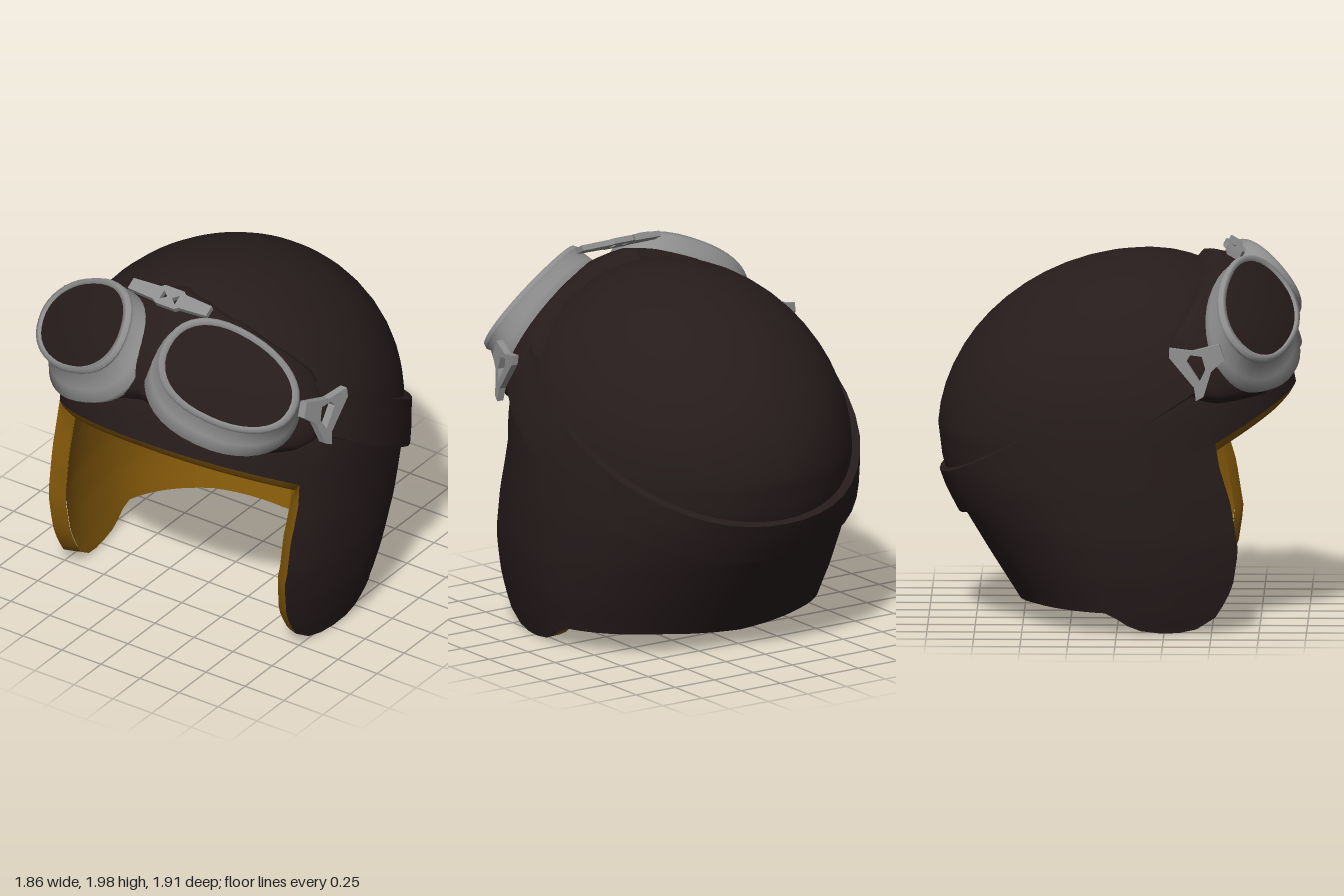
import * as THREE from 'three';
import { mergeGeometries, mergeVertices } from 'three/addons/utils/BufferGeometryUtils.js';

const leather = new THREE.MeshStandardMaterial({ name: 'dark leather', color: 0x271c1c });
const lining = new THREE.MeshStandardMaterial({ name: 'ochre lining', color: 0x7d5409, side: THREE.DoubleSide });
const metal = new THREE.MeshStandardMaterial({ name: 'grey metal', color: 0x8e8e8e, side: THREE.DoubleSide });

const { sin, cos, acos, sqrt, PI, abs } = Math;
const lerp = THREE.MathUtils.lerp, deg = PI / 180;
const Y0 = 1.02, TOP = 0.922; // dome base height, dome rise
const THICK = 0.09;

// linear lookup in a list of [key, value]
function look(table, k) {
  for (let i = 1; i < table.length; i++) {
    const [k0, v0] = table[i - 1], [k1, v1] = table[i];
    if (k <= k1) return lerp(v0, v1, Math.max(0, (k - k0) / (k1 - k0)));
  }
  return table[table.length - 1][1];
}

// patch from f(u, v) -> [x, y, z], facing dv x du
function grid(f, nu, nv, flip = false) {
  const pos = [], idx = [];
  for (let j = 0; j <= nv; j++) for (let i = 0; i <= nu; i++) pos.push(...f(i / nu, j / nv));
  for (let j = 0; j < nv; j++) for (let i = 0; i < nu; i++) {
    const a = j * (nu + 1) + i, b = a + 1, d = a + nu + 1, c = d + 1;
    idx.push(...(flip ? [a, b, c, a, c, d] : [a, c, b, a, d, c]));
  }
  const g = new THREE.BufferGeometry();
  g.setAttribute('position', new THREE.Float32BufferAttribute(pos, 3));
  g.setIndex(idx);
  return g;
}

function mirror(geo) {
  const g = geo.clone().scale(-1, 1, 1);
  if (!g.index) g.setIndex([...Array(g.attributes.position.count).keys()]);
  const a = g.index.array;
  for (let i = 0; i < a.length; i += 3) [a[i], a[i + 1]] = [a[i + 1], a[i]];
  return g;
}

const both = (list) => [...list, ...list.map(mirror)];

function smooth(list) {
  const g = mergeVertices(mergeGeometries(list), 1e-4);
  g.computeVertexNormals();
  return g;
}

// helmet surface; off moves it inward
function dome(th, ph, off = 0) {
  const s = sin(ph), r = cos(th) > 0 ? 0.84 : 1.055;
  return [(0.885 - off) * s * sin(th), Y0 + (TOP - off) * cos(ph), 0.1 + 0.06 * cos(ph) + (r - off) * s * cos(th)];
}
const WIDTH = [[0, 0.785], [0.1, 0.815], [0.3, 0.86], [0.5, 0.885], [0.75, 0.892], [Y0, 0.885]];
const FRONT = [[0, 1.05], [0.5, 1.05], [0.75, 0.96], [Y0, 0.84]];
const BACK = [[0.09, 0.62], [0.35, 0.785], [0.58, 0.925], [0.7, 0.985], [0.82, 1.03], [Y0, 1.055]];
function skirt(th, y, off = 0) {
  const r = look(cos(th) > 0 ? FRONT : BACK, y);
  return [(look(WIDTH, y) - off) * sin(th), y, 0.1 + (r - off) * cos(th)];
}
const surface = (th, y, off) => (y > Y0 ? dome(th, acos(Math.min(1, (y - Y0) / TOP)), off) : skirt(th, y, off));
const shift = ([x, y, z], dy, dz = 0) => [x, y + dy, z + dz];

// patches of one half: above the brow, side of the dome, ear flap with nape
const CORNER = acos(0.42 / 0.84);
const FLAP = [[0.03, 0.42], [0.06, 0.48], [0.1, 0.53], [0.25, 0.61], [0.45, 0.64], [0.7, 0.6], [0.9, 0.54], [Y0, 0.52]];
const HEM = [[0, 0.03], [0.07, 0.005], [0.17, 0.03], [0.29, 0.12], [0.7, 0.12], [1, 0.095]];
// the lining hangs a little below the brow and stops a little above the nape hem
const brow = (u, v, off) => shift(dome(u * CORNER, v * acos(0.22 * (1 - u * u) / TOP), off), -0.5 * off * v);
const side = (u, v, off) => dome(lerp(CORNER, PI, u), v * PI / 2, off);
const flap = (u, v, off) => {
  const yf = lerp(Y0, 0.03, v);
  const start = acos((look(FLAP, yf) - 0.1) / look(FRONT, yf));
  return shift(skirt(lerp(start, PI, u), lerp(Y0, look(HEM, u), v), off), 0.4 * off * v * u);
};
function shell(off, flip) {
  return smooth(both([
    grid((u, v) => brow(u, v, off), 10, 14, flip),
    grid((u, v) => side(u, v, off), 20, 14, flip),
    grid((u, v) => flap(u, v, off), 20, 16, flip),
  ]));
}

// goggle axes on the +x side: n out of the lens, a along it, b across it
const N = new THREE.Vector3(0.436, 0.557, 0.707).normalize();
const A = new THREE.Vector3(-0.86, 0.41, 0.31).addScaledVector(N, -0.073).normalize();
const B = new THREE.Vector3().crossVectors(N, A);
const LENS = new THREE.Vector3(0.47, 1.69, 0.74), BASE = new THREE.Vector3(0.4, 1.555, 0.69);
const full = (c) => Math.sign(c) * abs(c) ** 0.9;
function oval(center, t, a, b, lift = 0) {
  const w = b * (1 + 0.1 * cos(t));
  return center.clone().addScaledVector(A, a * full(cos(t))).addScaledVector(B, w * full(sin(t))).addScaledVector(N, lift);
}
// move a point radially to the given multiple of the dome size
function seat(p, size) {
  const k = size / Math.hypot(p.x / 0.885, (p.y - Y0) / TOP, (p.z - 0.12) / 0.85);
  return new THREE.Vector3(p.x * k, Y0 + (p.y - Y0) * k, 0.12 + (p.z - 0.12) * k);
}
// closed band through rings(t) -> list of points
const band = (rings, n) => grid((u, v) => rings(u * 2 * PI)[Math.round(v * n)].toArray(), 40, n);

// plate with holes, outline given as points
function plate(outline, holes, depth) {
  const pts = (l) => l.map(([x, y]) => new THREE.Vector2(x, y));
  const shape = new THREE.Shape(pts(outline));
  holes.forEach((h) => shape.holes.push(new THREE.Path(pts(h))));
  return new THREE.ExtrudeGeometry(shape, { depth, bevelEnabled: false });
}

export function createModel() {
  const model = new THREE.Group();
  model.name = 'helmetWithGoggles';
  const add = (name, geo, mat, parent = model) => {
    const m = new THREE.Mesh(geo, mat);
    m.name = name;
    parent.add(m);
  };

  // helmet: outside, lining and the rounded edge between them
  const roll = (v) => 0.028 * sin(PI * v);
  add('helmetShell', shell(0, false), leather);
  add('helmetLining', shell(THICK, true), lining);
  add('helmetEdge', smooth(both([
    grid((u, v) => shift(brow(u, 1, THICK * v), -roll(v), roll(v) * u * 0.5), 10, 4),
    grid((u, v) => shift(flap(0, u, THICK * v), -(roll(v) + 0.5 * THICK * v) * (1 - u), roll(v) * (1 - u) * 0.5), 16, 4, true),
    grid((u, v) => flap(u, 1, THICK * v), 20, 4),
  ])), lining);

  // padded mask under the goggles: degrees around and down from the top
  const padTop = [[[0, 0], [0.5, 52], [0.8, 68], [1, 78]], [[0, 17], [0.25, 21], [0.5, 30], [0.8, 43], [1, 54]]];
  const padLow = [[[0, 0], [0.5, 36], [0.8, 60], [1, 77]], [[0, 62], [0.12, 64], [0.3, 70], [0.5, 76], [0.8, 77], [0.9, 75], [1, 67]]];
  add('gogglePad', smooth([grid((u, v) => {
    const s = 2 * u - 1, k = abs(s);
    const th = lerp(look(padTop[0], k), look(padLow[0], k), v) * Math.sign(s);
    const ph = lerp(look(padTop[1], k), look(padLow[1], k), v);
    const height = lerp(0.115, 0.09, Math.min(1, 2 * k));
    return dome(th * deg, ph * deg, 0.01 - height * Math.max(0, sin(PI * v)) ** 0.3 * sqrt(1 - k ** 10));
  }, 48, 24)]), leather);

  // lenses and frames
  const goggles = new THREE.Group();
  goggles.name = 'goggles';
  model.add(goggles);
  const lens = grid((u, v) => oval(LENS, u * 2 * PI, 0.36 * v, 0.232 * v, 0.025 * (1 - v * v)).toArray(), 40, 5);
  const rim = band((t) => [oval(LENS, t, 0.35, 0.224, -0.01), oval(LENS, t, 0.357, 0.23, 0.015),
    oval(LENS, t, 0.383, 0.253, 0.012), oval(LENS, t, 0.393, 0.262, -0.012)], 3);
  const cup = band((t) => {
    const neck = oval(LENS, t, 0.385, 0.255, -0.035), foot = oval(BASE, t, 0.43, 0.305);
    const base = seat(foot, 1.1);
    return [oval(LENS, t, 0.393, 0.262, -0.012), neck, neck.clone().lerp(base, 0.55).addScaledVector(N, -0.012),
      base, seat(foot, 1.04)];
  }, 4);
  for (const [name, fix] of [['left', (g) => g], ['right', mirror]]) {
    add(name + 'Lens', smooth([fix(lens)]), leather, goggles);
    add(name + 'LensRim', smooth([fix(rim)]), metal, goggles);
    add(name + 'LensCup', smooth([fix(cup)]), metal, goggles);
  }

  // clip between the lenses
  const hole = [[0.015, 0], [0.05, 0.028], [0.05, -0.028]];
  const clip = plate(
    [[-0.25, -0.03], [-0.08, -0.04], [-0.06, -0.055], [0.06, -0.055], [0.08, -0.04], [0.25, -0.03],
      [0.25, 0.035], [0.08, 0.045], [0.06, 0.06], [-0.06, 0.06], [-0.08, 0.045], [-0.25, 0.035]],
    [hole, hole.map(([x, y]) => [-x, y])], 0.03);
  add('bridgeClip', clip.rotateX(-60 * deg).translate(0, 1.935, 0.6), metal, goggles);

  // buckles, drawn from the side and bent to the helmet
  const buckle = plate(
    [[-0.57, 1.48], [-0.5, 1.42], [-0.46, 1.29], [-0.42, 1.27], [-0.41, 1.34], [-0.28, 1.5],
      [-0.28, 1.55], [-0.4, 1.53], [-0.54, 1.56]],
    [[[-0.47, 1.43], [-0.44, 1.37], [-0.37, 1.48], [-0.39, 1.51], [-0.45, 1.5]]], 0.04);
  const p = buckle.attributes.position;
  for (let i = 0; i < p.count; i++) {
    const z = -p.getX(i), y = p.getY(i);
    p.setXYZ(i, 0.8 + (0.57 - z) * 0.29 - (y - 1.42) * 0.15 + p.getZ(i), y, z);
  }
  const other = mirror(buckle).toNonIndexed();
  for (const [name, g] of [['leftBuckle', buckle], ['rightBuckle', other]]) {
    g.computeVertexNormals();
    add(name, g, metal, goggles);
  }

  // strap around the back, cut by two sloping planes
  const strapPoint = (u, v, raise) => {
    const th = lerp(68, 292, u) * deg, y0 = lerp(1.334, 1.05, v), slope = lerp(0.593, 0.58, v);
    const off = lerp(0.01, -lerp(0.035, 0.055, abs(2 * u - 1)), raise);
    let q = [0, y0, 0];
    for (let i = 0; i < 40; i++) q = surface(th, y0 + slope * q[2], off);
    return q;
  };
  const strap = [
    grid((u, v) => strapPoint(u, 0, v), 32, 1),
    grid((u, v) => strapPoint(u, v, 1), 32, 3),
    grid((u, v) => strapPoint(u, 1, 1 - v), 32, 1),
  ];
  strap.forEach((g) => g.computeVertexNormals());
  add('goggleStrap', mergeGeometries(strap), leather);

  return model;
}
